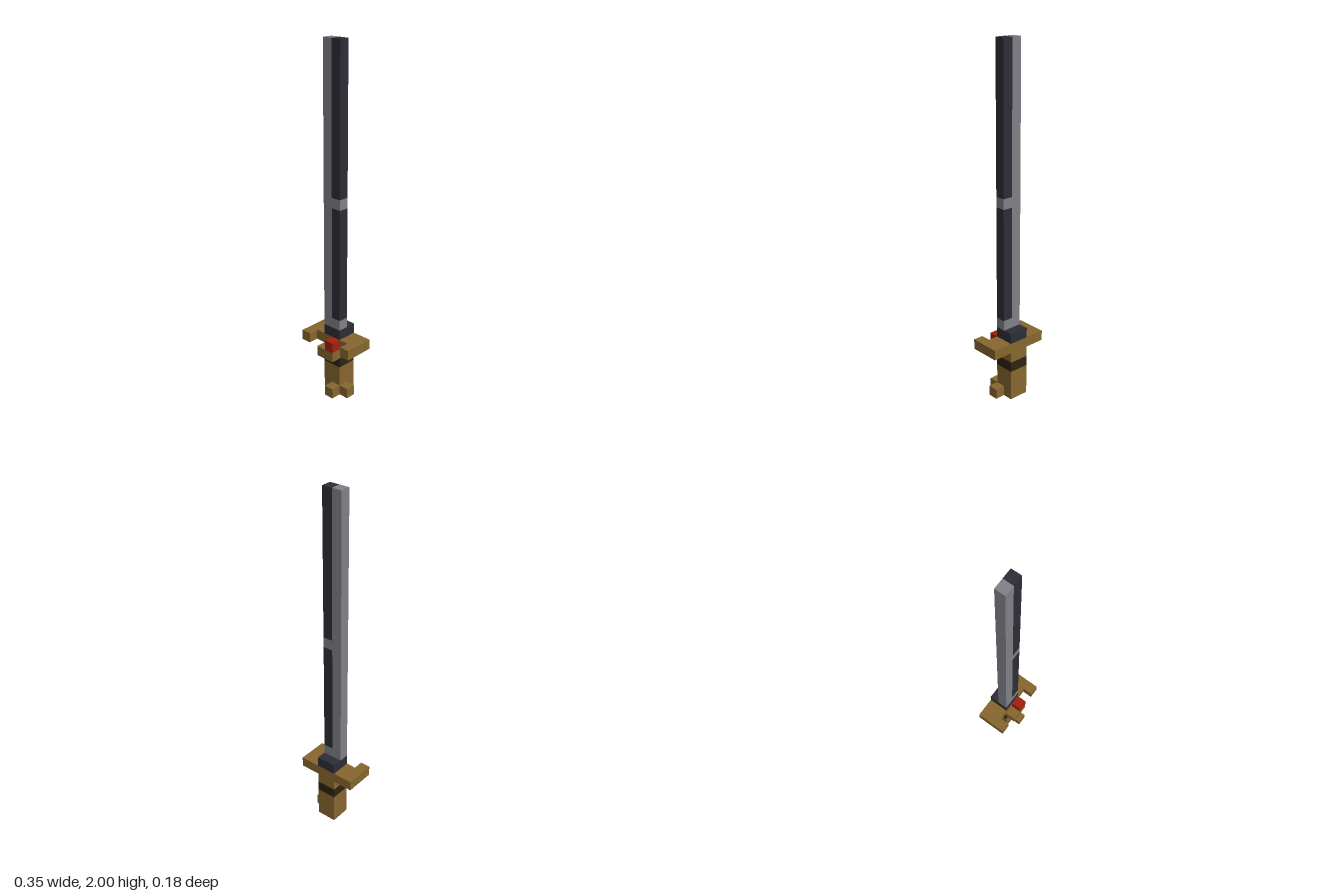
import * as THREE from 'three';

// One block of the voxel grid; the sword is 34 blocks tall.
const U = 2 / 34;

const paint = (name, color) => {
  const material = new THREE.MeshStandardMaterial({ color });
  material.name = name;
  return material;
};

// Box between two grid corners, measured in blocks.
function block(parent, name, material, [x0, y0, z0], [x1, y1, z1]) {
  const geometry = new THREE.BoxGeometry((x1 - x0) * U, (y1 - y0) * U, (z1 - z0) * U);
  const mesh = new THREE.Mesh(geometry, material);
  mesh.name = name;
  mesh.position.set((x0 + x1) * U / 2, (y0 + y1) * U / 2, (z0 + z1) * U / 2);
  parent.add(mesh);
}

export function createModel() {
  const sword = new THREE.Group();
  sword.name = 'sword';
  const steel = paint('light steel', 0x7f8187);
  const dark = paint('dark steel', 0x2d2d37);
  const brass = paint('brass', 0x86662e);
  const leather = paint('dark leather', 0x2d2310);
  const ruby = paint('red gem', 0xa2200e);

  // Grip with a dark wrap band
  const grip = new THREE.Group();
  grip.name = 'grip';
  sword.add(grip);
  block(grip, 'lowerGrip', brass, [-1, 0, -1.5], [1, 3, 0.5]);
  block(grip, 'gripBand', leather, [-1, 3, -1.5], [1, 4, 0.5]);
  block(grip, 'upperGrip', brass, [-1, 4, -1.5], [1, 5, 0.5]);

  // Pommel studs at the front and left
  block(grip, 'frontStud', brass, [0, 0, 0.5], [1, 1, 1.5]);
  block(grip, 'sideStud', brass, [1, 0, -0.5], [2, 1, 0.5]);

  // Guard with forward prongs, gem ledge and gem
  const guard = new THREE.Group();
  guard.name = 'guard';
  sword.add(guard);
  block(guard, 'crossBar', brass, [-3, 5, -1.5], [3, 6, 0.5]);
  block(guard, 'rightProng', brass, [-3, 5, 0.5], [-2, 6, 1.5]);
  block(guard, 'leftProng', brass, [2, 5, 0.5], [3, 6, 1.5]);
  block(guard, 'gemLedge', brass, [-1, 4, 0.5], [1, 5, 1.5]);
  block(guard, 'gem', ruby, [0, 5, 0.5], [1, 6, 1.5]);

  // Collar and two-tone blade; the dark half is broken by light bands
  block(sword, 'collar', dark, [-1, 6, -1.5], [1, 7, 0.5]);
  const blade = new THREE.Group();
  blade.name = 'blade';
  sword.add(blade);
  block(blade, 'lightHalf', steel, [-1, 7, -0.5], [0, 34, 0.5]);
  const bands = [[7, 8, steel], [8, 19, dark], [19, 20, steel], [20, 34, dark]];
  for (const [y0, y1, material] of bands) {
    block(blade, material === dark ? 'darkHalf' : 'lightBand', material, [0, y0, -0.5], [1, y1, 0.5]);
  }

  return sword;
}
